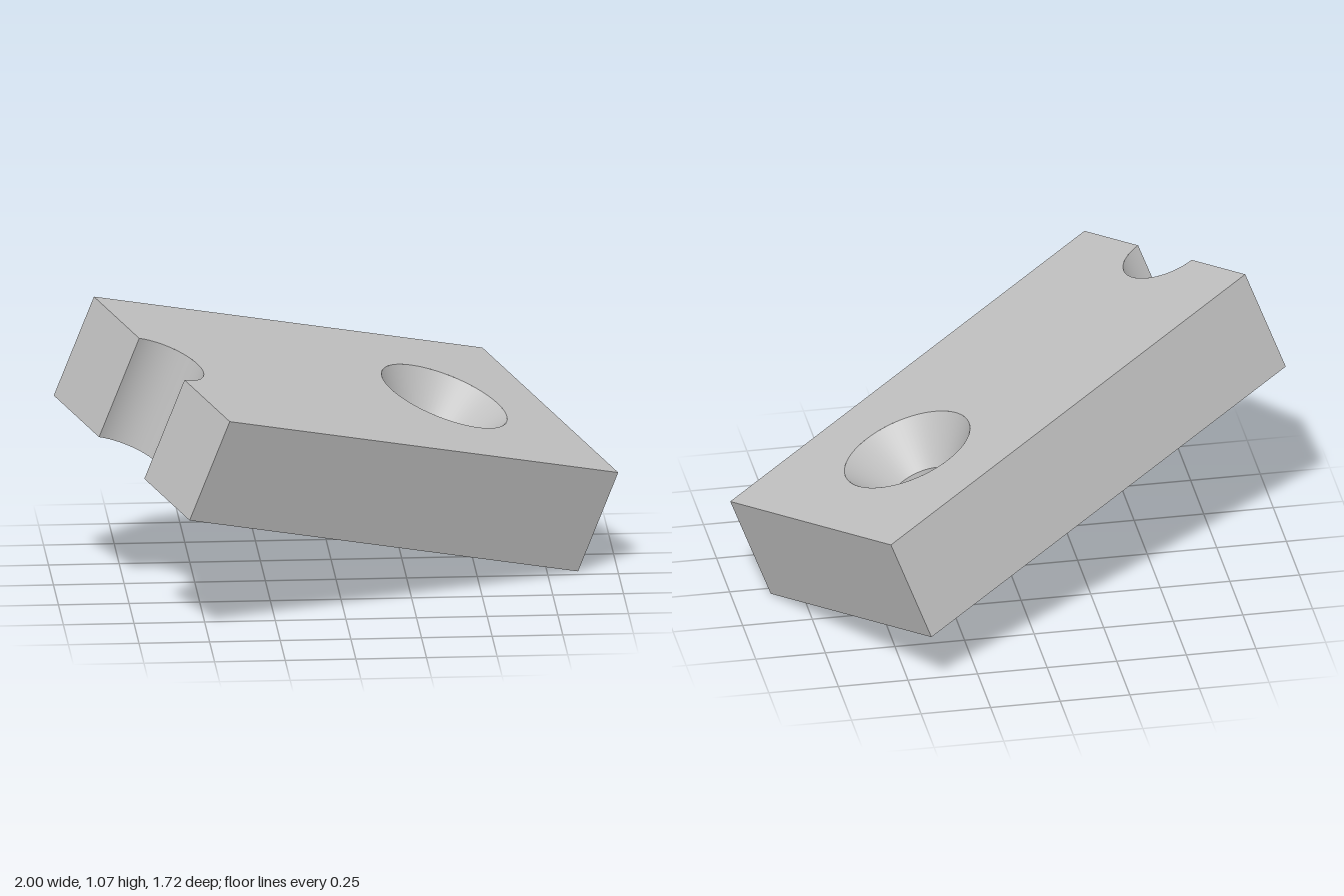
import * as THREE from 'three';

// Plate proportions in its own units: 22 long, 12 wide, 5 thick
const L = 11, W = 6, T = 2.5; // half sizes
const NOTCH_R = 2, HOLE_X = 5, HOLE_R = 1.5, SINK_R = 3, SINK_DEPTH = 2;
const SCALE = 0.0793;

// Plate outline with a half-round notch in one end and a round hole
function outline(holeRadius) {
  const s = new THREE.Shape();
  s.moveTo(-L, -W);
  s.lineTo(L, -W);
  s.lineTo(L, W);
  s.lineTo(-L, W);
  s.lineTo(-L, NOTCH_R);
  s.absarc(-L, 0, NOTCH_R, Math.PI / 2, -Math.PI / 2, true);
  s.closePath();
  const hole = new THREE.Path();
  hole.absarc(HOLE_X, 0, holeRadius, 0, Math.PI * 2, true);
  s.holes.push(hole);
  return new THREE.ShapeGeometry(s, 48);
}

// Upright wall through the full thickness along a run of [x, y] points
function wall(points) {
  const pos = [], index = [];
  points.forEach(([x, y], i) => {
    pos.push(x, y, -T, x, y, T);
    if (i > 0) {
      const a = 2 * (i - 1), b = 2 * i;
      index.push(a, b, b + 1, a, b + 1, a + 1);
    }
  });
  const g = new THREE.BufferGeometry();
  g.setAttribute('position', new THREE.Float32BufferAttribute(pos, 3));
  g.setIndex(index);
  g.computeVertexNormals();
  return g;
}

// Inward-facing turned surface of the hole, from upper to lower radius
function bore(rTop, zTop, rBottom, zBottom) {
  const g = new THREE.LatheGeometry(
    [new THREE.Vector2(rTop, zTop), new THREE.Vector2(rBottom, zBottom)], 64);
  return g.rotateX(Math.PI / 2).translate(HOLE_X, 0, 0);
}

export function createModel() {
  const model = new THREE.Group();
  model.name = 'notchedPlate';
  const metal = new THREE.MeshStandardMaterial({ color: 0xc0c0c0, side: THREE.DoubleSide });
  metal.name = 'light grey';

  const plate = new THREE.Group();
  plate.name = 'plate';
  const add = (name, geometry) => {
    const mesh = new THREE.Mesh(geometry, metal);
    mesh.name = name;
    plate.add(mesh);
  };

  // Broad faces
  add('topFace', outline(SINK_R).translate(0, 0, T));
  add('bottomFace', outline(HOLE_R).rotateX(Math.PI).translate(0, 0, -T));

  // Straight sides
  add('frontSide', wall([[-L, -W], [L, -W]]));
  add('plainEnd', wall([[L, -W], [L, W]]));
  add('backSide', wall([[L, W], [-L, W]]));
  add('notchedEndBack', wall([[-L, W], [-L, NOTCH_R]]));
  add('notchedEndFront', wall([[-L, -NOTCH_R], [-L, -W]]));

  // Half-round notch
  const arc = [];
  for (let i = 0; i <= 48; i++) {
    const a = Math.PI / 2 - (Math.PI * i) / 48;
    arc.push([-L + NOTCH_R * Math.cos(a), NOTCH_R * Math.sin(a)]);
  }
  add('notch', wall(arc));

  // Countersunk screw hole
  add('countersink', bore(SINK_R, T, HOLE_R, T - SINK_DEPTH));
  add('screwHole', bore(HOLE_R, T - SINK_DEPTH, HOLE_R, -T));

  // Tilt the plate into place
  const along = new THREE.Vector3(0.8233, -0.2708, -0.4991).normalize();
  const across = new THREE.Vector3(-0.447, 0.24, -0.862);
  const up = along.clone().cross(across).normalize();
  across.crossVectors(up, along);
  plate.quaternion.setFromRotationMatrix(new THREE.Matrix4().makeBasis(along, across, up));
  plate.scale.setScalar(SCALE);
  plate.position.y = SCALE * (L * Math.abs(along.y) + W * Math.abs(across.y) + T * up.y);
  model.add(plate);
  return model;
}
